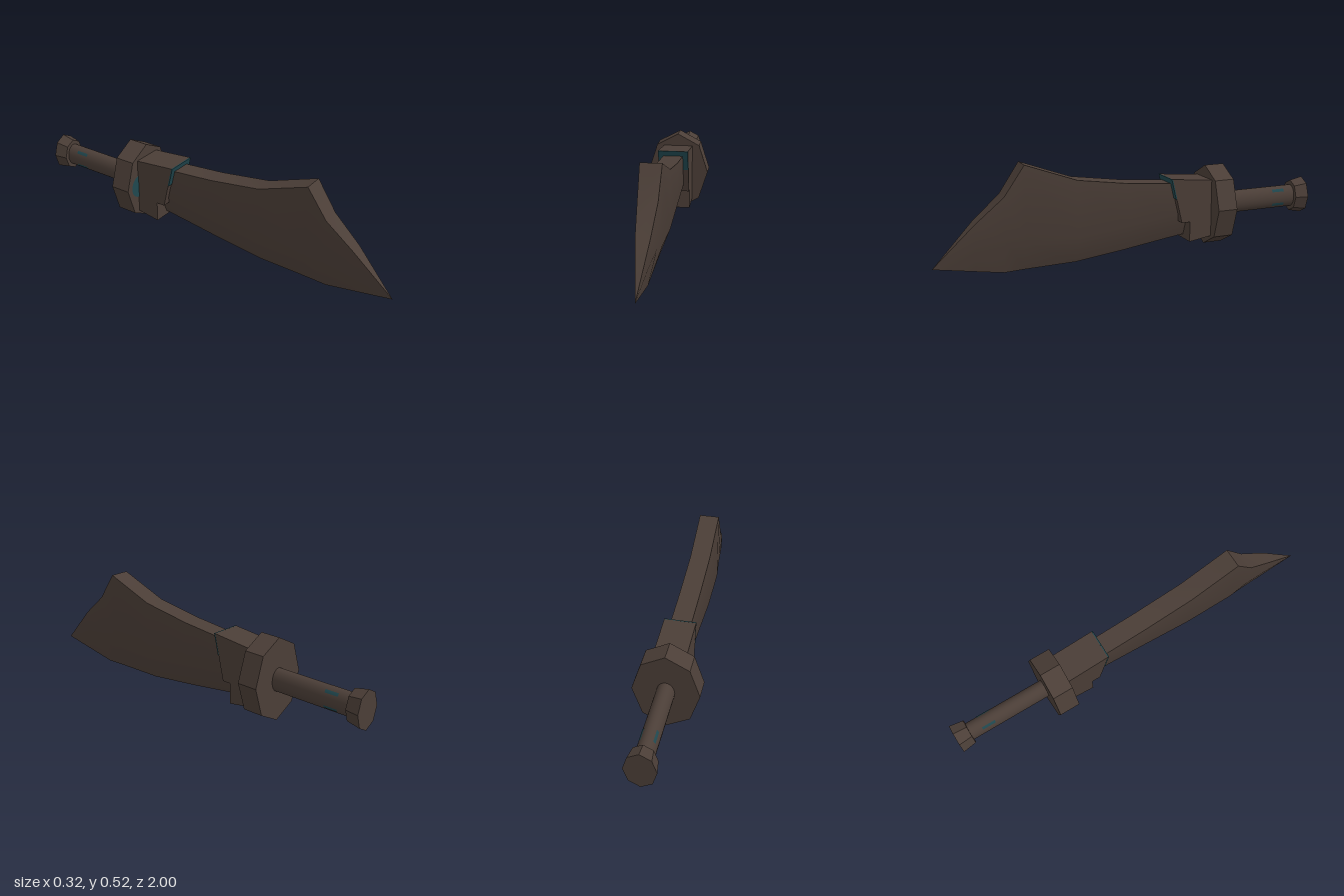
import * as THREE from 'three';
import { toCreasedNormals } from 'three/addons/utils/BufferGeometryUtils.js';

const CENTRE_Y = 0.231;

export function createModel() {
  const group = new THREE.Group();
  const brown = new THREE.MeshStandardMaterial({ color: 0x4b3e37 });
  brown.name = 'dark brown';
  const teal = new THREE.MeshStandardMaterial({ color: 0x20474e });
  teal.name = 'deep teal';

  const add = (name, geometry, material) => {
    const mesh = new THREE.Mesh(geometry, material);
    mesh.name = name;
    group.add(mesh);
    return mesh;
  };

  // Oval rod along z, from zBack to zFront, narrower in x than in y
  const rod = (rFront, rBack, zFront, zBack, sides, squash, ...arc) =>
    new THREE.CylinderGeometry(rFront, rBack, zFront - zBack, sides, 1, ...arc)
      .rotateX(Math.PI / 2)
      .scale(squash, 1, 1)
      .translate(0, CENTRE_Y, (zFront + zBack) / 2);

  // Side outline of (z, y) points, extruded across x
  const slab = (points, halfWidth) => {
    const shape = new THREE.Shape(points.map(([z, y]) => new THREE.Vector2(z, y)));
    return new THREE.ExtrudeGeometry(shape, { depth: 2 * halfWidth, bevelEnabled: false })
      .rotateY(-Math.PI / 2)
      .translate(halfWidth, 0, 0);
  };

  // Blade stations: z, spine y, spine half width, bevel y, bevel half width, edge y
  const stations = [
    [-0.40, 0.36, 0.05, 0.23, 0.05, 0.10],
    [-0.19, 0.37, 0.05, 0.20, 0.05, 0.073],
    [0.03, 0.39, 0.05, 0.175, 0.05, 0.042],
    [0.30, 0.43, 0.05, 0.14, 0.05, 0.01],
    [0.56, 0.525, 0.05, 0.15, 0.049, 0.005],
    [0.66, 0.38, 0.045, 0.17, 0.04, 0.001],
    [0.80, 0.26, 0.032, 0.14, 0.026, 0.025],
    [1.0, 0.06, 0, 0.06, 0, 0.06],
  ];
  const positions = [];
  const index = [];
  for (const [z, top, wTop, mid, wMid, edge] of stations) {
    positions.push(-wTop, top, z, wTop, top, z, wMid, mid, z, 0, edge, z, -wMid, mid, z);
  }
  for (let s = 0; s < stations.length - 1; s++) {
    for (let i = 0; i < 5; i++) {
      const a = s * 5 + i;
      const b = s * 5 + ((i + 1) % 5);
      index.push(a, a + 5, b);
      if (s < stations.length - 2) index.push(b, a + 5, b + 5);
    }
  }
  index.push(0, 1, 2, 0, 2, 4, 4, 2, 3);
  const blade = new THREE.BufferGeometry();
  blade.setAttribute('position', new THREE.Float32BufferAttribute(positions, 3));
  blade.setIndex(index);
  add('blade', toCreasedNormals(blade, 0.5), brown);

  // Stepped collar holding the blade, with a teal strip on its sloping front
  add('collar', slab([
    [-0.42, 0.374], [-0.42, 0.084], [-0.29, 0.064], [-0.29, 0.168], [-0.245, 0.168], [-0.19, 0.396],
  ], 0.077), brown);
  add('collarStrip', slab([
    [-0.217, 0.292], [-0.211, 0.292], [-0.186, 0.396], [-0.192, 0.396],
  ], 0.0775), teal);

  // Eight-sided guard with a round mark on one side of its front
  add('guard', toCreasedNormals(rod(0.207, 0.207, -0.41, -0.515, 8, 0.775), 0.3), brown);
  const mark = new THREE.CircleGeometry(0.062, 32).translate(-0.068, 0.23, -0.407);
  add('guardMark', mark, teal);

  // Grip with small painted patches on both sides
  add('grip', rod(0.058, 0.058, -0.51, -0.94, 24, 0.74), brown);
  for (const side of [1, -1]) {
    for (const height of [0.75, -0.6]) {
      const theta = Math.PI / 2 + height;
      const middle = side > 0 ? theta : 2 * Math.PI - theta;
      add('gripPatch', rod(0.06, 0.06, -0.80, -0.87, 4, 0.745, true, middle - 0.15, 0.3), teal);
    }
  }

  // Flared eight-sided pommel
  add('pommel', toCreasedNormals(rod(0.083, 0.0975, -0.93, -1, 8, 0.77), 0.3), brown);

  return group;
}
